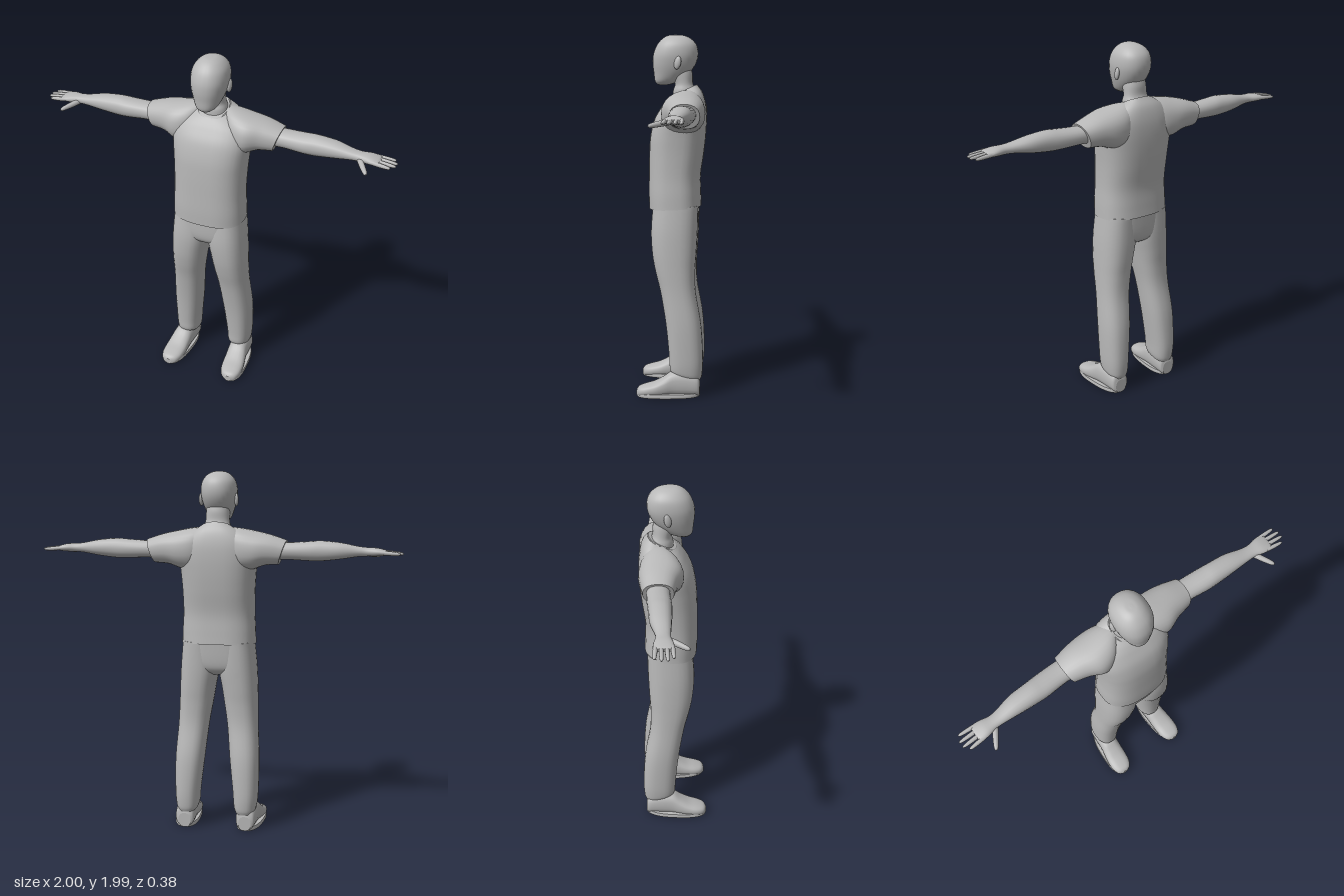
import * as THREE from 'three';

const grey = new THREE.MeshStandardMaterial({ color: 0xb8b8b8 });
grey.name = 'plain grey';

const V = (x, y, z) => new THREE.Vector3(x, y, z);

// Smooth closed skin through cross-sections { c: centre, u, v: half axes }, n = squareness.
function loft(sections, n = 2.2, sides = 28, steps = 5, side = 1) {
  const [C, U, W] = ['c', 'u', 'v'].map(k =>
    new THREE.CatmullRomCurve3(sections.map(s => V(s[k].x * side, s[k].y, s[k].z)), false, 'catmullrom', 0.5));
  const rows = (sections.length - 1) * steps;
  const pos = [], idx = [];
  const pw = a => Math.sign(a) * Math.pow(Math.abs(a), 2 / n);
  const ring = t => {
    const c = C.getPoint(t), u = U.getPoint(t), w = W.getPoint(t);
    for (let j = 0; j < sides; j++) {
      const a = (j / sides) * Math.PI * 2;
      const p = c.clone().addScaledVector(u, pw(Math.cos(a))).addScaledVector(w, pw(Math.sin(a)));
      pos.push(p.x, p.y, p.z);
    }
  };
  // Corner order follows the handedness of the sections
  const mid = U.getPoint(0.5).cross(W.getPoint(0.5));
  const flip = mid.dot(C.getPoint(1).sub(C.getPoint(0))) < 0;
  const tri = (a, b, c) => (flip ? idx.push(a, c, b) : idx.push(a, b, c));
  for (let i = 0; i <= rows; i++) ring(i / rows);
  for (let i = 0; i < rows; i++) {
    for (let j = 0; j < sides; j++) {
      const a = i * sides + j, b = i * sides + (j + 1) % sides;
      tri(a, b, b + sides);
      tri(a, b + sides, a + sides);
    }
  }
  // End caps with their own corners, so the rims stay crisp
  for (const t of [0, 1]) {
    const base = pos.length / 3;
    ring(t);
    const c = C.getPoint(t);
    pos.push(c.x, c.y, c.z);
    for (let j = 0; j < sides; j++) {
      const k = (j + 1) % sides;
      if (t) tri(base + j, base + k, base + sides);
      else tri(base + k, base + j, base + sides);
    }
  }
  const g = new THREE.BufferGeometry();
  g.setAttribute('position', new THREE.Float32BufferAttribute(pos, 3));
  g.setIndex(idx);
  g.computeVertexNormals();
  return g;
}

// Upright section: height, x range, z front and back, rise of the front edge
const level = (y, x0, x1, zf, zb, tilt = 0) => ({
  c: V((x0 + x1) / 2, y, (zf + zb) / 2), u: V((x1 - x0) / 2, 0, 0), v: V(0, tilt, (zf - zb) / 2),
});
const even = (y, w, zf, zb, tilt) => level(y, -w, w, zf, zb, tilt);
// Sideways section: x, y range, z range, lean of the top edge
const across = (x, y0, y1, zf, zb, lean = 0) => ({
  c: V(x, (y0 + y1) / 2, (zf + zb) / 2), u: V(lean, (y1 - y0) / 2, 0), v: V(0, 0, (zf - zb) / 2),
});

export function createModel() {
  const model = new THREE.Group();
  model.name = 'standingMan';
  const add = (name, geometry) => {
    const m = new THREE.Mesh(geometry, grey);
    m.name = name;
    model.add(m);
    return m;
  };

  // Head and neck
  add('head', loft([
    even(1.716, 0.03, 0.085, 0.02), even(1.735, 0.056, 0.1, -0.03), even(1.78, 0.078, 0.106, -0.09),
    even(1.83, 0.093, 0.112, -0.125), even(1.88, 0.099, 0.109, -0.138), even(1.93, 0.091, 0.09, -0.13),
    even(1.965, 0.066, 0.06, -0.1), even(1.983, 0.035, 0.028, -0.06), even(1.987, 0.006, -0.005, -0.02),
  ], 2.2));
  add('neck', loft([
    even(1.6, 0.08, 0, -0.15), even(1.68, 0.075, 0, -0.13), even(1.72, 0.066, -0.01, -0.11),
    even(1.77, 0.064, 0.01, -0.108), even(1.81, 0.06, 0.02, -0.1),
  ]));

  // Shirt body and collar
  add('shirtBody', loft([
    even(1.045, 0.205, 0.13, -0.16, -0.008), even(1.12, 0.203, 0.133, -0.157), even(1.22, 0.198, 0.132, -0.155),
    even(1.34, 0.2, 0.13, -0.172), even(1.44, 0.207, 0.123, -0.183), even(1.53, 0.215, 0.1, -0.187),
    even(1.6, 0.2, 0.062, -0.182, -0.005), even(1.65, 0.145, 0.035, -0.165, -0.02),
    even(1.681, 0.085, 0.018, -0.135, -0.034),
  ], 2.6, 36));
  add('collar', loft([
    even(1.655, 0.1, 0.03, -0.148, -0.034), even(1.675, 0.089, 0.022, -0.138, -0.034),
    even(1.685, 0.082, 0.015, -0.132, -0.034),
  ], 2.2, 32, 2));

  // Trouser seat
  add('trouserSeat', loft([
    even(0.875, 0.1, 0.05, -0.09), even(0.9, 0.17, 0.09, -0.125), even(0.95, 0.2, 0.11, -0.142),
    even(1.08, 0.197, 0.115, -0.15),
  ], 2.7, 32));

  for (const s of [1, -1]) {
    const tag = s > 0 ? 'left' : 'right';
    const part = (name, sections, n, sides, steps) => add(tag + name, loft(sections, n, sides, steps, s));

    // Sleeve with a slanted cuff
    part('Sleeve', [
      across(0.05, 1.5, 1.69, -0.04, -0.14), across(0.12, 1.46, 1.686, 0.03, -0.175),
      across(0.2, 1.46, 1.67, 0.052, -0.184, 0.01), across(0.28, 1.485, 1.65, 0.022, -0.175, 0.018),
      across(0.362, 1.492, 1.622, 0, -0.16, 0.022),
    ], 2.3);

    // Arm and palm
    part('Arm', [
      across(0.3, 1.515, 1.615, -0.02, -0.14), across(0.4, 1.518, 1.612, -0.02, -0.14),
      across(0.5, 1.513, 1.617, -0.012, -0.136), across(0.57, 1.513, 1.621, -0.012, -0.13),
      across(0.67, 1.524, 1.612, -0.015, -0.122), across(0.76, 1.538, 1.594, -0.02, -0.1),
      across(0.81, 1.541, 1.588, -0.02, -0.094), across(0.86, 1.542, 1.586, -0.008, -0.104),
      across(0.9, 1.546, 1.577, -0.004, -0.106), across(0.915, 1.553, 1.57, -0.012, -0.1),
    ], 2.2, 20);

    // Fingers and thumb taper from root to tip
    const digit = (name, a, b, r) => {
      const dir = b.clone().sub(a).normalize();
      const w = V(-dir.z, 0, dir.x);
      const rings = [[0, 1], [0.35, 1], [0.7, 0.88], [0.93, 0.65], [1, 0.2]].map(([t, k]) => ({
        c: a.clone().lerp(b, t), u: V(0, r * k, 0), v: w.clone().multiplyScalar(r * k),
      }));
      part(name, rings, 2, 10, 2);
    };
    [['IndexFinger', -0.016, -0.008, 0.975], ['MiddleFinger', -0.042, -0.036, 0.998],
      ['RingFinger', -0.068, -0.066, 1.0], ['LittleFinger', -0.093, -0.099, 0.985]].forEach(([name, z0, z1, x]) =>
      digit(name, V(0.88, 1.563, z0), V(x, 1.556, z1), 0.0115));
    digit('Thumb', V(0.81, 1.556, -0.035), V(0.872, 1.538, 0.066), 0.0155);

    // Trouser leg with a hem lower at the back
    part('TrouserLeg', [
      level(1.06, 0.005, 0.2, 0.105, -0.145), level(0.92, 0.0, 0.213, 0.115, -0.142),
      level(0.8, 0.02, 0.219, 0.108, -0.136), level(0.7, 0.036, 0.222, 0.09, -0.13),
      level(0.58, 0.055, 0.226, 0.06, -0.134), level(0.4, 0.074, 0.237, 0.03, -0.165),
      level(0.22, 0.094, 0.236, 0.012, -0.176), level(0.14, 0.1, 0.23, 0.008, -0.172, 0.015),
      level(0.112, 0.108, 0.222, 0.0, -0.162, 0.02),
    ], 2.4);

    // Shoe: z, centre x, half width, height
    part('Shoe', [
      [-0.16, 0.172, 0.035, 0.08], [-0.145, 0.173, 0.052, 0.12], [-0.08, 0.176, 0.056, 0.14],
      [-0.01, 0.18, 0.057, 0.138], [0.04, 0.185, 0.061, 0.106], [0.09, 0.189, 0.064, 0.079],
      [0.14, 0.192, 0.06, 0.064], [0.175, 0.194, 0.044, 0.052], [0.19, 0.195, 0.018, 0.036],
    ].map(([z, x, w, h]) => ({
      c: V(x, h / 2 + 0.003, z), u: V(w, 0, 0), v: V(0, h / 2, 0),
    })), 2.5, 24, 4);
    const soleAt = (y, w, d) => ({ c: V(0.185, y, 0.015), u: V(w, 0, 0), v: V(0.012, 0, d) });
    part('ShoeSole', [soleAt(0, 0.067, 0.17), soleAt(0.008, 0.071, 0.175), soleAt(0.024, 0.068, 0.174)], 2.5, 32, 2);

    // Ear
    const ear = add(tag + 'Ear', new THREE.SphereGeometry(1, 14, 10));
    ear.scale.set(0.012, 0.036, 0.02);
    ear.position.set(s * 0.097, 1.835, -0.03);
    ear.rotation.set(-0.2, s * -0.3, 0);
  }
  return model;
}
